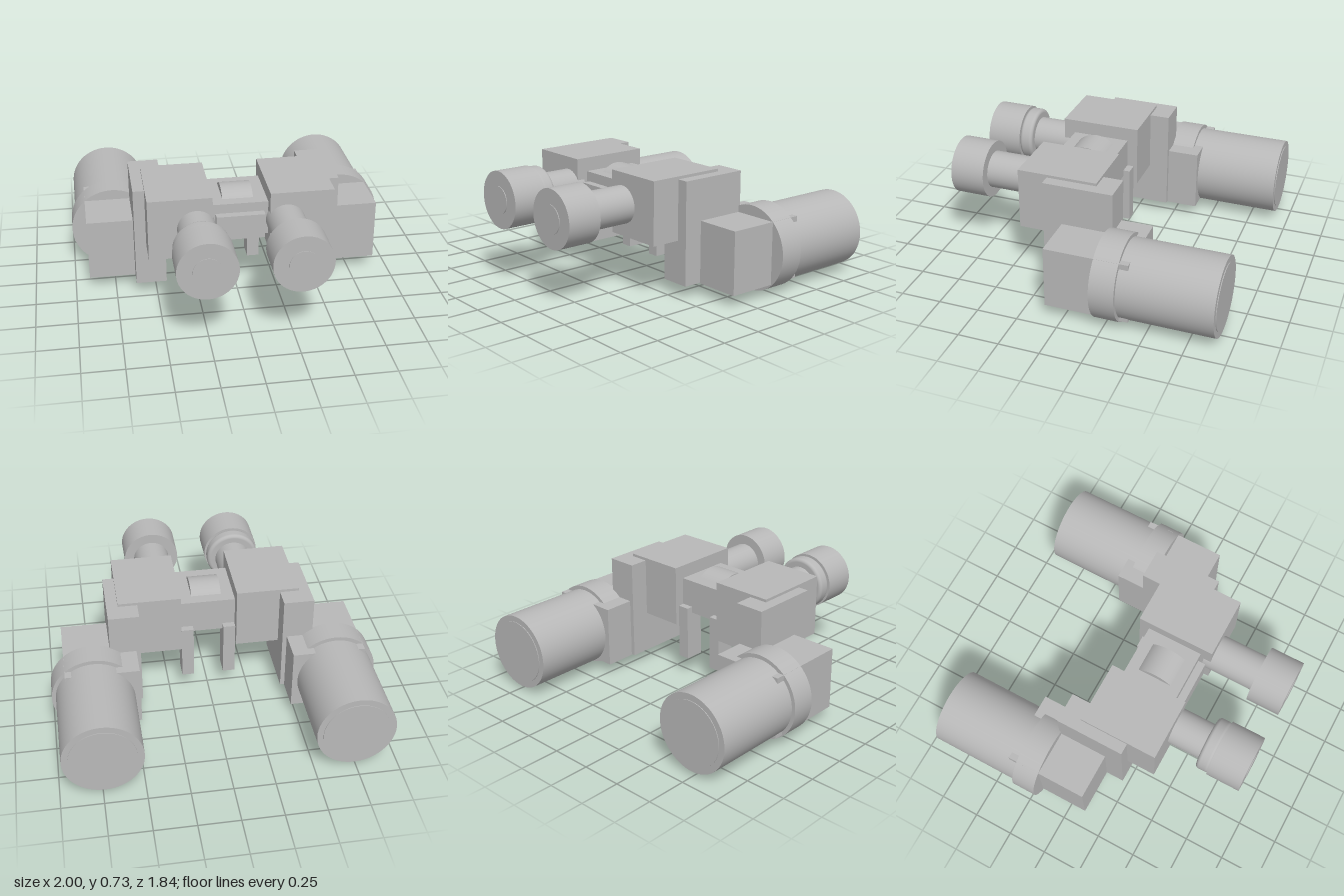
import * as THREE from 'three';

export function createModel() {
  const model = new THREE.Group();
  model.name = 'binoculars';
  const grey = new THREE.MeshStandardMaterial({ color: 0xb8b8b8 });
  grey.name = 'body grey';

  const add = (parent, name, geometry) => {
    const mesh = new THREE.Mesh(geometry, grey);
    mesh.name = name;
    parent.add(mesh);
    return mesh;
  };

  // Box given by its limits on each axis
  const box = (parent, name, x0, x1, y0, y1, z0, z1) => {
    const g = new THREE.BoxGeometry(x1 - x0, y1 - y0, z1 - z0);
    g.translate((x0 + x1) / 2, (y0 + y1) / 2, (z0 + z1) / 2);
    return add(parent, name, g);
  };

  // Cylinder lying along z
  const tube = (parent, name, x, y, r, z0, z1) => {
    const g = new THREE.CylinderGeometry(r, r, z1 - z0, 64);
    g.rotateX(Math.PI / 2).translate(x, y, (z0 + z1) / 2);
    return add(parent, name, g);
  };

  const objX = 0.738, objY = 0.263;
  const eyeX = 0.27, eyeY = 0.537;

  for (const s of [1, -1]) {
    const side = new THREE.Group();
    side.name = s > 0 ? 'leftHalf' : 'rightHalf';
    model.add(side);
    const mBox = (name, x0, x1, ...rest) =>
      s > 0 ? box(side, name, x0, x1, ...rest) : box(side, name, -x1, -x0, ...rest);

    // Stepped prism housing
    mBox('upperPrismHousing', 0.172, 0.558, 0.345, 0.73, -0.085, 0.408);
    mBox('middlePrismHousing', 0.44, 0.627, 0.08, 0.713, -0.207, 0.224);
    mBox('lowerPrismHousing', 0.467, 0.911, 0.075, 0.46, -0.402, 0.108);

    // Objective barrel, collar and lens
    tube(side, 'objectiveBarrel', s * objX, objY, 0.238, -0.914, -0.2);
    tube(side, 'objectiveCollar', s * objX, objY, 0.262, -0.347, -0.196);
    tube(side, 'objectiveLens', s * objX, objY, 0.2, -0.918, -0.9);

    // Eyepiece
    tube(side, 'eyepieceTube', s * eyeX, eyeY, 0.115, 0.36, 0.72);
    tube(side, 'eyecup', s * eyeX, eyeY, 0.177, 0.7, 0.914);
    tube(side, 'eyeLens', s * eyeX, eyeY, 0.085, 0.9, 0.918);

    // Support prong behind the bridge
    mBox('prong', 0.094, 0.169, 0.12, 0.47, -0.062, 0.06);
  }

  // Rounded adjustment ring on the right eyepiece only
  const profile = [new THREE.Vector2(0.1, 0)];
  const r = 0.168, h = 0.085, c = 0.022;
  for (let i = 0; i <= 6; i++) {
    const a = -Math.PI / 2 + (i / 6) * Math.PI / 2;
    profile.push(new THREE.Vector2(r - c + c * Math.cos(a), c + c * Math.sin(a)));
  }
  for (let i = 0; i <= 6; i++) {
    const a = (i / 6) * Math.PI / 2;
    profile.push(new THREE.Vector2(r - c + c * Math.cos(a), h - c + c * Math.sin(a)));
  }
  profile.push(new THREE.Vector2(0.1, h));
  const ring = new THREE.LatheGeometry(profile, 64);
  ring.rotateX(Math.PI / 2).translate(-eyeX, eyeY, 0.618);
  add(model, 'adjustmentRing', ring);

  // Central bridge, its front strip and the focus wheel
  box(model, 'bridge', -0.18, 0.18, 0.43, 0.645, -0.02, 0.337);
  box(model, 'bridgeFrontStrip', -0.147, 0.147, 0.43, 0.585, 0.33, 0.385);
  const wheel = new THREE.CylinderGeometry(0.153, 0.153, 0.187, 64);
  wheel.rotateZ(Math.PI / 2).translate(-0.002, 0.537, 0.16);
  add(model, 'focusWheel', wheel);

  return model;
}
